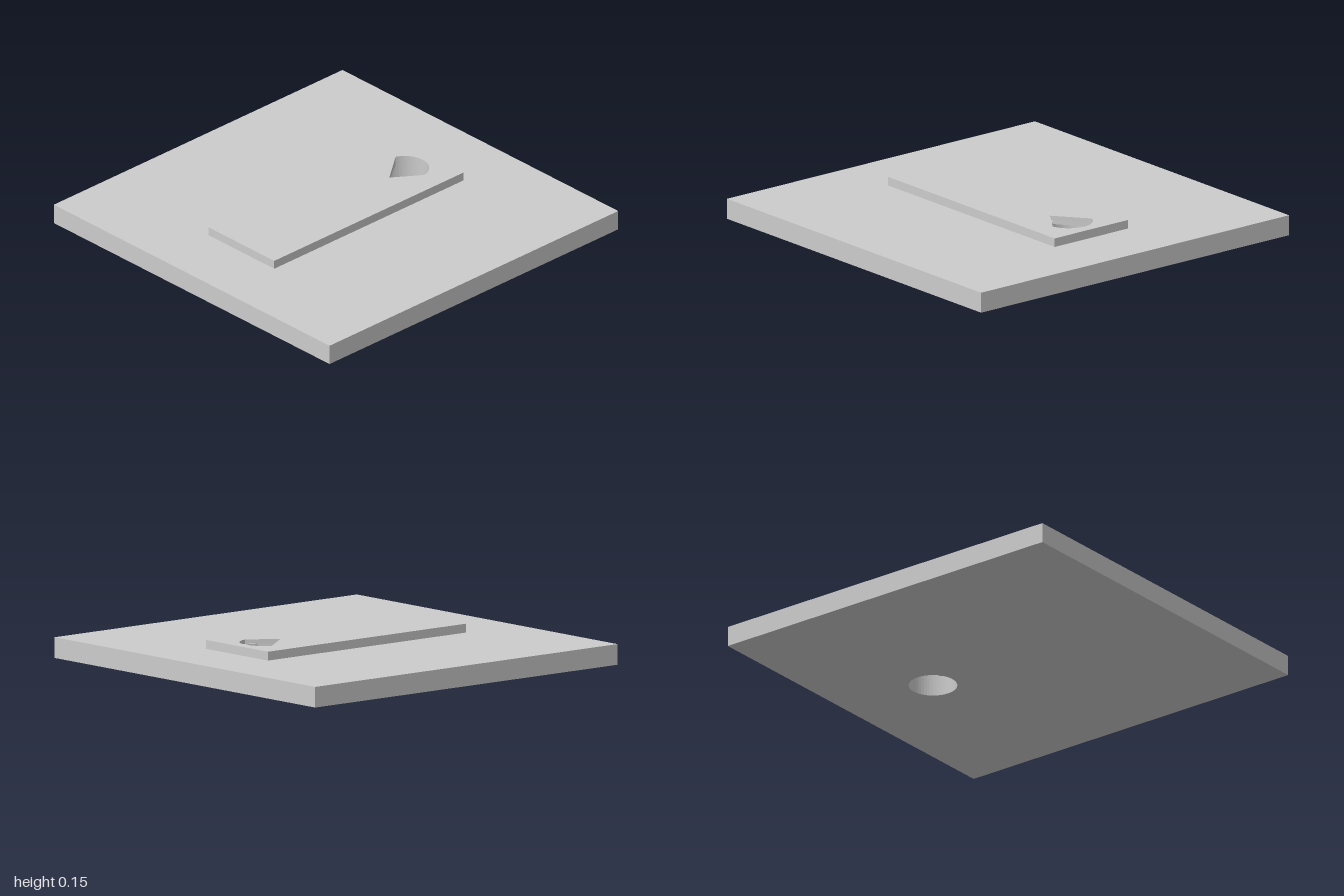
import * as THREE from 'three';

const HOLE_X = 0.477, HOLE_R = 0.122;

// Horizontal slab from y0 to y1 with one opening cut through it
function slab(name, width, depth, y0, y1, hole) {
  const w = width / 2, d = depth / 2;
  const shape = new THREE.Shape([
    new THREE.Vector2(-w, -d), new THREE.Vector2(w, -d),
    new THREE.Vector2(w, d), new THREE.Vector2(-w, d),
  ]);
  shape.holes.push(hole);
  const geometry = new THREE.ExtrudeGeometry(shape, { depth: y1 - y0, bevelEnabled: false, curveSegments: 24 });
  geometry.rotateX(-Math.PI / 2).translate(0, y0, 0);
  const mesh = new THREE.Mesh(geometry, new THREE.MeshStandardMaterial({ color: 0xcccccc }));
  mesh.name = name;
  return mesh;
}

// Fan-shaped opening: round on the outer side, straight flanks meeting at a tip (points are x, z)
function fanHole(points) {
  const path = new THREE.Path();
  points.forEach(([x, z], i) => (i ? path.lineTo(x, -z) : path.moveTo(x, -z)));
  path.absarc(HOLE_X, 0, HOLE_R, -1.15, 1.2, false);
  path.closePath();
  return path;
}

export function createModel() {
  const group = new THREE.Group();
  group.name = 'slottedPlate';

  // Square base with a round bore
  const bore = new THREE.Path().absarc(HOLE_X, 0, HOLE_R, 0, Math.PI * 2, true);
  group.add(slab('base', 2, 2, 0, 0.105, bore));

  // Raised plate, its opening stepped by a narrow ledge
  group.add(slab('plateLower', 1.31, 0.475, 0.105, 0.128,
    fanHole([[0.357, 0.005], [0.445, 0.083]])));
  group.add(slab('plateUpper', 1.31, 0.475, 0.128, 0.15,
    fanHole([[0.352, 0.018], [0.498, 0.12]])));

  return group;
}
